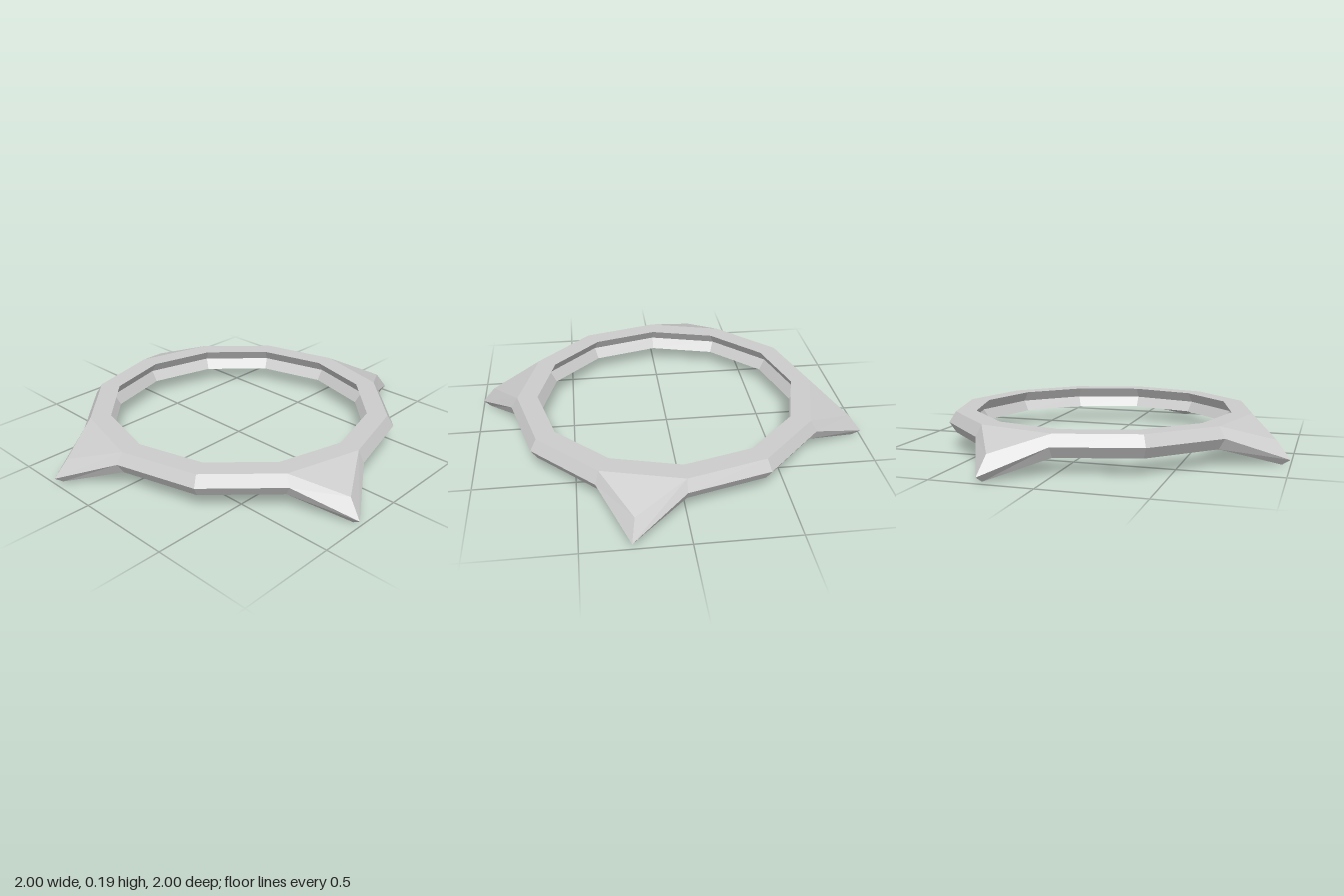
import * as THREE from 'three';

// Chevron cross-section of the band as [radius, height], from the top inner corner outward and down
const SECTION = [[0.68, 0.195], [0.785, 0.195], [0.82, 0.14], [0.785, 0.085], [0.68, 0.085], [0.715, 0.14]];
// Outer corners of the section where it is drawn out into a drooping point
const TIP = { 1: [0.963, 0.117], 2: [1.035, 0.028], 3: [0.994, 0] };
const SIDES = 12;
const STEP = (Math.PI * 2) / SIDES;

const at = ([r, y], angle) => [r * Math.cos(angle), y, r * Math.sin(angle)];

function makeMesh(name, triangles, material) {
  const geometry = new THREE.BufferGeometry();
  geometry.setAttribute('position', new THREE.Float32BufferAttribute(triangles.flat(2), 3));
  geometry.computeVertexNormals();
  const mesh = new THREE.Mesh(geometry, material);
  mesh.name = name;
  return mesh;
}

const quad = (a, b, c, d) => [[a, b, c], [a, c, d]];

export function createModel() {
  const group = new THREE.Group();
  group.name = 'spikedRing';
  const material = new THREE.MeshStandardMaterial({ color: 0xcccccc, flatShading: true });

  // Twelve-sided band; its outer wall is left open where a spike grows out
  const band = [];
  for (let k = 0; k < SIDES; k++) {
    const a0 = k * STEP, a1 = a0 + STEP;
    SECTION.forEach((p, i) => {
      const outerWall = i === 1 || i === 2;
      if (outerWall && k % 3 === 0) return;
      const q = SECTION[(i + 1) % SECTION.length];
      band.push(...quad(at(p, a0), at(p, a1), at(q, a1), at(q, a0)));
    });
  }
  group.add(makeMesh('ringBand', band, material));

  // One spike: sloped top, two-facet flanks on both sides and a sloped underside
  const mid = STEP / 2;
  const tip = (i) => at(TIP[i], mid);
  const start = (i) => at(SECTION[i], 0);
  const end = (i) => at(SECTION[i], STEP);
  const faces = [[start(1), end(1), tip(1)], [end(3), start(3), tip(3)]];
  for (const i of [1, 2]) {
    faces.push(...quad(start(i), tip(i), tip(i + 1), start(i + 1)));
    faces.push(...quad(tip(i), end(i), end(i + 1), tip(i + 1)));
  }

  // Four spikes, a quarter turn apart
  for (let k = 0; k < 4; k++) {
    const spike = makeMesh('spike' + (k + 1), faces, material);
    spike.rotation.y = (k * Math.PI) / 2;
    group.add(spike);
  }
  return group;
}
